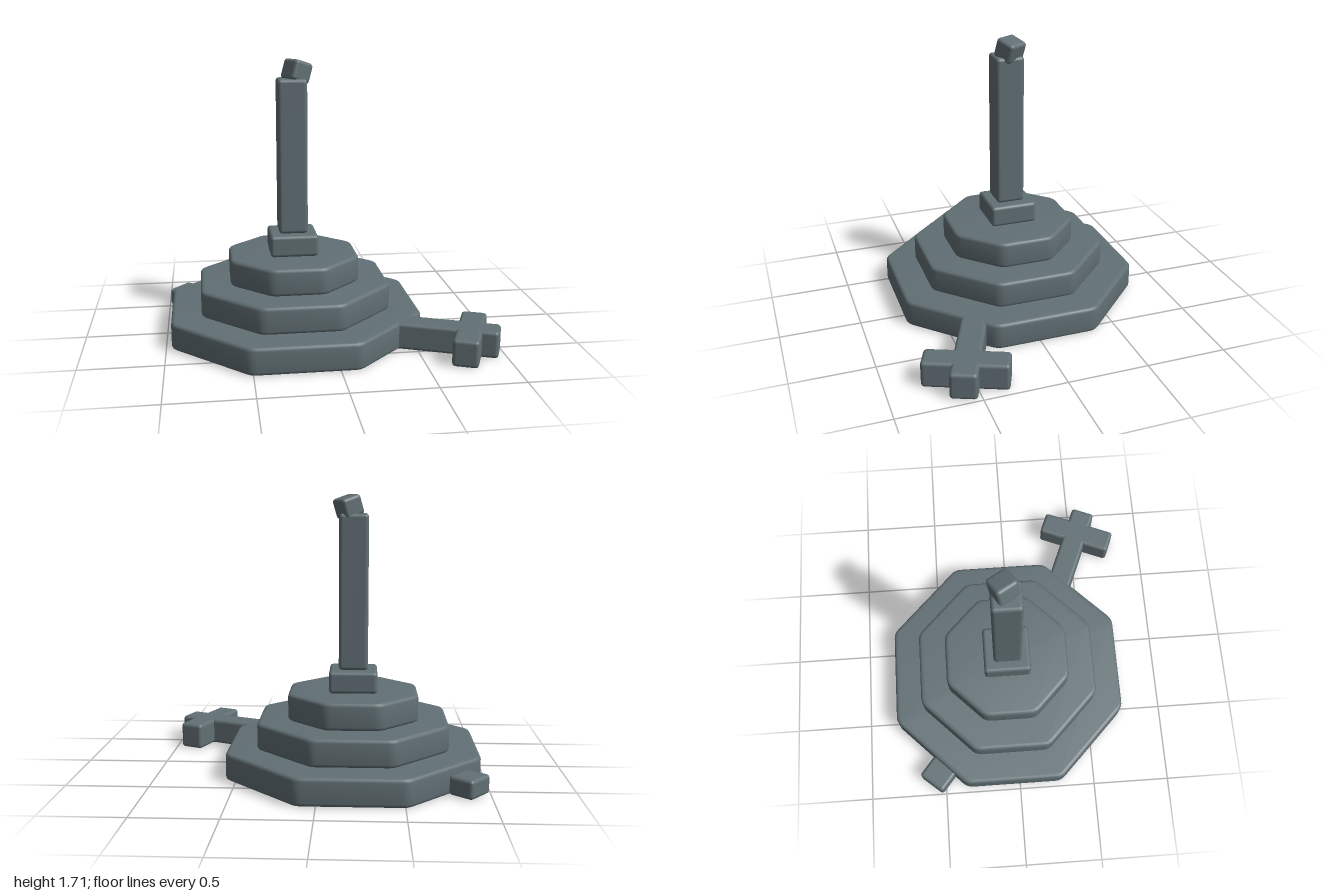
import * as THREE from 'three';
import { toCreasedNormals } from 'three/addons/utils/BufferGeometryUtils.js';
import { RoundedBoxGeometry } from 'three/addons/geometries/RoundedBoxGeometry.js';

const CX = -0.2, CZ = -0.04; // axis of the stepped base
const BEVEL = 0.022;

// Regular octagon with softened corners, drawn flat-side up
function octagonShape(apothem, soft) {
  const r = apothem / Math.cos(Math.PI / 8);
  const pts = Array.from({ length: 8 }, (_, i) => {
    const a = Math.PI / 8 + i * Math.PI / 4;
    return new THREE.Vector2(Math.cos(a) * r, Math.sin(a) * r);
  });
  const toward = (p, q) => p.clone().add(q.clone().sub(p).setLength(soft));
  const shape = new THREE.Shape();
  pts.forEach((p, i) => {
    const a = toward(p, pts[(i + 7) % 8]), b = toward(p, pts[(i + 1) % 8]);
    if (i === 0) shape.moveTo(a.x, a.y); else shape.lineTo(a.x, a.y);
    shape.quadraticCurveTo(p.x, p.y, b.x, b.y);
  });
  shape.closePath();
  return shape;
}

export function createModel() {
  const model = new THREE.Group();
  const stone = new THREE.MeshStandardMaterial({ color: 0x616f74 });
  stone.name = 'slateStone';

  const add = (name, geometry, x, y, z) => {
    const mesh = new THREE.Mesh(geometry, stone);
    mesh.name = name;
    mesh.position.set(x, y, z);
    model.add(mesh);
    return mesh;
  };
  const block = (name, w, h, d, x, y, z, yaw = 0, r = BEVEL) => {
    const mesh = add(name, new RoundedBoxGeometry(w, h, d, 3, r), x, y, z);
    mesh.rotation.y = yaw;
    return mesh;
  };

  // Three octagonal steps
  [['lowerStep', 0.767, 0], ['middleStep', 0.583, 0.167], ['upperStep', 0.399, 0.333]]
    .forEach(([name, apothem, y]) => {
      const geometry = new THREE.ExtrudeGeometry(octagonShape(apothem, 0.04), {
        depth: 0.167 - 2 * BEVEL, bevelThickness: BEVEL, bevelSize: BEVEL,
        bevelOffset: -BEVEL, bevelSegments: 4, curveSegments: 4,
      });
      geometry.translate(0, 0, BEVEL);
      geometry.rotateX(-Math.PI / 2);
      add(name, toCreasedNormals(geometry, 0.5), CX, y, CZ);
    });

  // Plinth, shaft and the broken stub left on top
  block('plinth', 0.298, 0.135, 0.298, CX, 0.567, CZ);
  block('shaft', 0.18, 0.957, 0.18, CX, 1.113, CZ + 0.003);
  const stub = block('brokenStub', 0.133, 0.127, 0.143, -0.165, 1.632, -0.05, Math.PI / 6);
  stub.rotation.z = -0.31;

  // Fallen cross lying on the ground, its foot against the lower step
  const yaw = -Math.PI / 8;
  block('fallenCrossStem', 0.7, 0.165, 0.16, 0.643, 0.0825, 0.472, yaw);
  block('fallenCrossArms', 0.155, 0.165, 0.505, 0.804, 0.0825, 0.54, yaw);

  // Loose piece of rubble on the other side
  block('rubble', 0.165, 0.115, 0.19, -0.876, 0.0575, -0.543, -0.7);

  return model;
}
